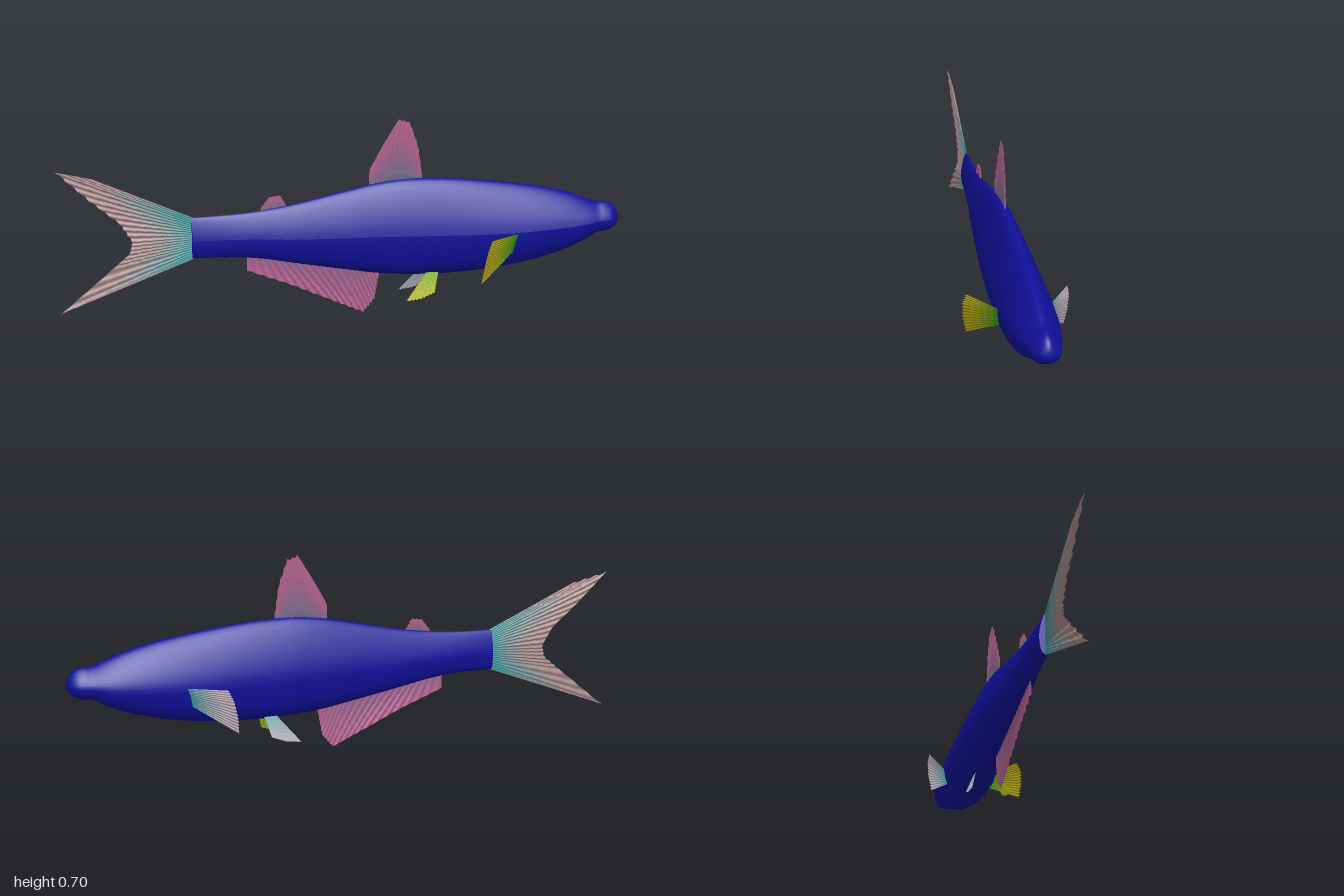
import * as THREE from 'three';

// Grid of points (rows of equal length) to a smooth surface
function surface(rows, material) {
  const n = rows[0].length, pos = [], index = [];
  rows.forEach(r => r.forEach(p => pos.push(p.x, p.y, p.z)));
  for (let i = 0; i < rows.length - 1; i++) {
    for (let j = 0; j < n - 1; j++) {
      const a = i * n + j, b = a + n;
      index.push(a, b, a + 1, b, b + 1, a + 1);
    }
  }
  const g = new THREE.BufferGeometry();
  g.setAttribute('position', new THREE.Float32BufferAttribute(pos, 3));
  g.setIndex(index);
  g.computeVertexNormals();
  return new THREE.Mesh(g, material);
}

// Point at t (0..1) along a polyline, each leg taking an equal share
function along(pts, t) {
  const s = t * (pts.length - 1), i = Math.min(Math.floor(s), pts.length - 2);
  const a = new THREE.Vector3(...pts[i]), b = new THREE.Vector3(...pts[i + 1]);
  return a.lerp(b, s - i);
}

// Rippled, rayed fin spanning a base line and an outer edge, shaded in bands
function fin(name, base, edge, colors, rays = 16, ripple = 0.0035) {
  const group = new THREE.Group();
  group.name = name;
  const bands = 6, steps = rays * 4;
  const from = new THREE.Color(colors[0]), to = new THREE.Color(colors[1]);
  const row = v => {
    const out = [];
    for (let i = 0; i <= steps; i++) {
      const t = i / steps, wave = Math.cos(i * Math.PI / 2);
      const p = along(base, t), e = along(edge, t);
      p.lerp(e, v * (1 + 0.012 * wave));
      p.z += ripple * wave * Math.min(1, v + 0.3);
      out.push(p);
    }
    return out;
  };
  for (let k = 0; k < bands; k++) {
    const material = new THREE.MeshStandardMaterial({
      color: from.clone().lerp(to, Math.min(1, k / (bands - 2))), side: THREE.DoubleSide
    });
    const mesh = surface([row(k / bands), row((k + 0.5) / bands), row((k + 1) / bands)], material);
    mesh.name = name + 'Band' + k;
    group.add(mesh);
  }
  return group;
}

// Egg-shaped body sections: x, top, bottom, half width
const SECTIONS = [
  [-0.545, 0.38, 0.235, 0.021], [-0.4, 0.386, 0.232, 0.03], [-0.3, 0.395, 0.222, 0.037],
  [-0.2, 0.41, 0.203, 0.046], [0, 0.453, 0.167, 0.063], [0.1, 0.473, 0.15, 0.07],
  [0.2, 0.484, 0.14, 0.076], [0.3, 0.484, 0.136, 0.08], [0.4, 0.478, 0.137, 0.083],
  [0.5, 0.467, 0.144, 0.086], [0.6, 0.454, 0.156, 0.087], [0.7, 0.437, 0.176, 0.085],
  [0.8, 0.412, 0.205, 0.078], [0.87, 0.387, 0.235, 0.068], [0.915, 0.37, 0.259, 0.056],
  [0.94, 0.37, 0.261, 0.052], [0.965, 0.363, 0.268, 0.046], [0.985, 0.348, 0.28, 0.033],
  [0.996, 0.33, 0.295, 0.018], [1, 0.312, 0.31, 0.001]
];

function makeBody() {
  const channel = k => new THREE.CatmullRomCurve3(
    SECTIONS.map(s => new THREE.Vector3(s[0], s[k], 0)), false, 'centripetal');
  const curves = [1, 2, 3].map(channel);
  const rows = [], around = 40, rings = 95;
  const ring = (x, top, bottom, w, scale = 1) => {
    const c = bottom + (top - bottom) * 0.45, out = [];
    for (let j = 0; j <= around; j++) {
      const a = j / around * Math.PI * 2, s = Math.sin(a), co = Math.cos(a);
      // Narrow back, full belly
      const z = s > 0 ? co * (1 - 0.4 * Math.pow(s, 1.2))
        : Math.sign(co) * Math.pow(Math.abs(co), 0.75);
      const y = c + s * (s > 0 ? top - c : c - bottom) * scale;
      out.push(new THREE.Vector3(x, y, z * w * scale));
    }
    return out;
  };
  for (let i = 0; i <= rings; i++) {
    const p = curves.map(c => c.getPoint(i / rings));
    rows.push(ring(p[0].x, p[0].y, p[1].y, p[2].y));
  }
  const material = new THREE.MeshStandardMaterial({ color: 0x10109a, side: THREE.DoubleSide });
  const group = new THREE.Group();
  group.name = 'body';
  const skin = surface(rows, material);
  skin.name = 'skin';
  // Flat end closing the tail root
  const end = SECTIONS[0];
  const cap = surface([ring(...end, 0.001), ring(...end)], material);
  cap.name = 'tailRoot';
  group.add(skin, cap);
  return group;
}

export function createModel() {
  const fish = new THREE.Group();
  fish.name = 'fish';
  fish.add(makeBody());

  const flat = pts => pts.map(([x, y]) => [x, y, 0]);
  const pink = [0x6a6a8c, 0xb5648f];

  // Forked tail
  fish.add(fin('tailFin',
    flat([[-0.535, 0.38], [-0.535, 0.31], [-0.535, 0.235]]),
    flat([[-0.87, 0.53], [-1, 0.56], [-0.89, 0.455], [-0.79, 0.37], [-0.75, 0.305],
      [-0.76, 0.262], [-0.82, 0.21], [-1, 0.06], [-0.83, 0.125]]),
    [0x3f9a9c, 0xa98a8c], 24));

  // Fins along the back and belly
  fish.add(fin('dorsalFin',
    flat([[0.08, 0.45], [0.18, 0.465], [0.27, 0.47]]),
    flat([[0.08, 0.52], [0.13, 0.61], [0.185, 0.698], [0.225, 0.685], [0.255, 0.6], [0.27, 0.5]]),
    pink, 12));
  fish.add(fin('rearDorsalFin',
    flat([[-0.31, 0.385], [-0.21, 0.4]]),
    flat([[-0.305, 0.4], [-0.275, 0.44], [-0.235, 0.445], [-0.215, 0.41]]),
    pink, 8));
  fish.add(fin('analFin',
    flat([[-0.355, 0.235], [-0.2, 0.21], [0, 0.175], [0.12, 0.16]]),
    flat([[-0.355, 0.18], [-0.2, 0.12], [-0.045, 0.05], [0.06, 0.003], [0.1, 0.05], [0.115, 0.13]]),
    [0x96608c, 0xb5648f], 20));

  // Paired fins, left (-z here) and right mirrored across the body
  for (const side of [1, -1]) {
    const mirror = pts => pts.map(([x, y, z]) => [x, y, z * side]);
    const word = side > 0 ? 'front' : 'back';
    const colors = side > 0 ? [0x2f9010, 0xa39410] : [0x48a0a8, 0xb9aab2];
    fish.add(fin(word + 'PectoralFin',
      mirror([[0.61, 0.287, 0.083], [0.59, 0.222, 0.076]]),
      mirror([[0.485, 0.29, 0.168], [0.468, 0.25, 0.178], [0.455, 0.19, 0.176], [0.45, 0.135, 0.165]]),
      colors, 14, 0.002));
    fish.add(fin(word + 'PelvicFin',
      mirror([[0.325, 0.15, 0.038], [0.28, 0.15, 0.038]]),
      mirror([[0.305, 0.08, 0.066], [0.255, 0.062, 0.071], [0.2, 0.055, 0.071]]),
      side > 0 ? [0x70b010, 0xb0b818] : [0x70b0b4, 0xb4b4ba], 8, 0.002));
  }
  return fish;
}
